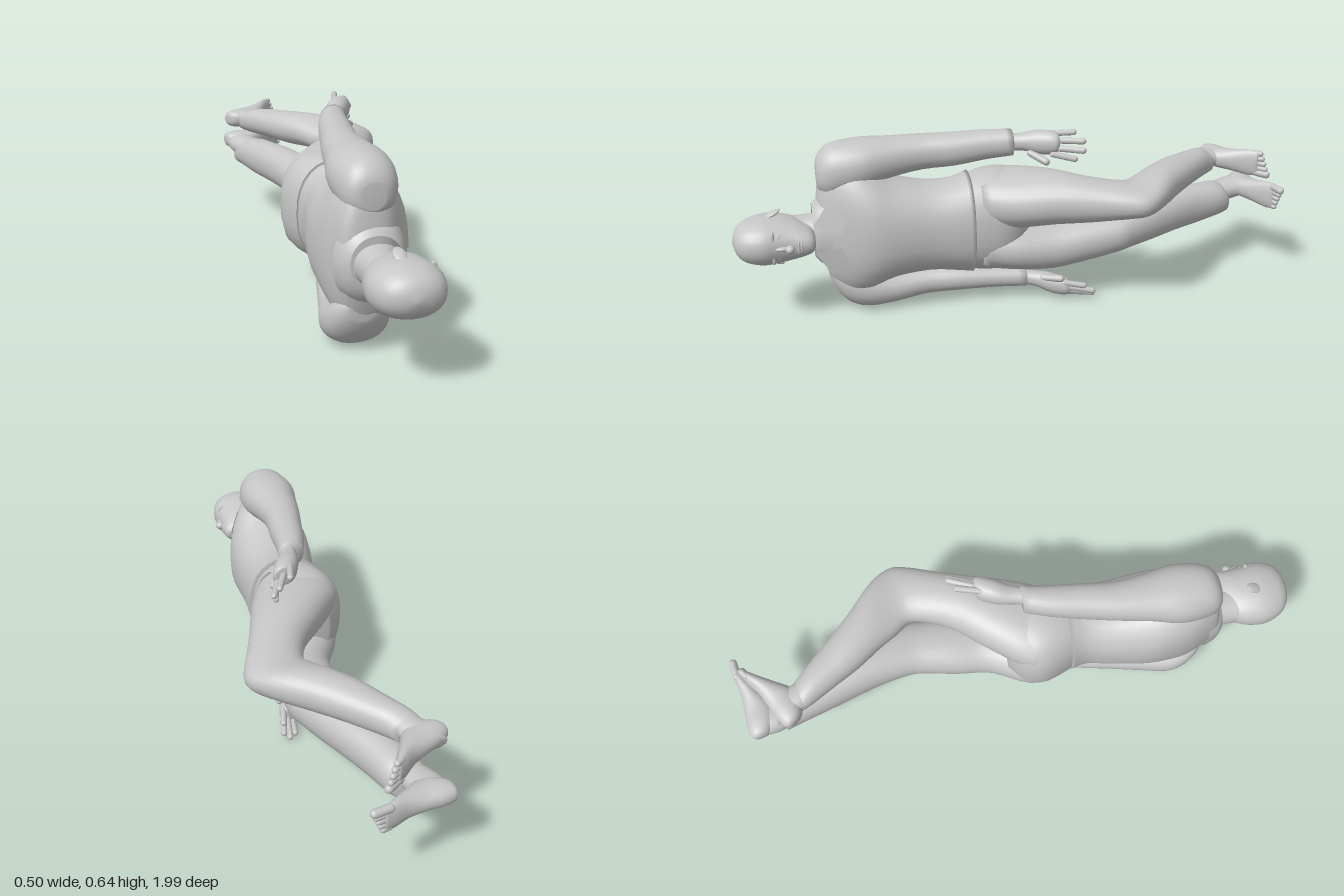
import * as THREE from 'three';

const grey = new THREE.MeshStandardMaterial({ color: 0xc6c6c6, side: THREE.DoubleSide });
grey.name = 'plain grey';

function add(parent, name, geometry) {
  const mesh = new THREE.Mesh(geometry, grey);
  mesh.name = name;
  parent.add(mesh);
  return mesh;
}

// Smooth skin through oval sections [z, xMin, xMax, yMin, yMax], listed along -z
function loft(parent, name, sections, { caps = true, steps = 3, sides = 28, power = 0.92 } = {}) {
  const rows = [];
  const n = sections.length;
  const at = i => sections[Math.max(0, Math.min(n - 1, i))];
  for (let i = 0; i < n - 1; i++) {
    for (let s = 0; s < steps; s++) {
      const t = s / steps;
      rows.push(at(i).map((b, k) => {
        const a = at(i - 1)[k], c = at(i + 1)[k], d = at(i + 2)[k];
        return b + 0.5 * t * (c - a + t * (2 * a - 5 * b + 4 * c - d + t * (3 * (b - c) + d - a)));
      }));
    }
  }
  rows.push(sections[n - 1]);
  const pos = [], index = [];
  const bend = v => Math.sign(v) * Math.abs(v) ** power;
  for (const [z, x0, x1, y0, y1] of rows) {
    for (let j = 0; j < sides; j++) {
      const a = (j / sides) * Math.PI * 2;
      pos.push((x0 + x1) / 2 + bend(Math.cos(a)) * (x1 - x0) / 2,
        (y0 + y1) / 2 + bend(Math.sin(a)) * (y1 - y0) / 2, z);
    }
  }
  for (let i = 0; i < rows.length - 1; i++) {
    for (let j = 0; j < sides; j++) {
      const a = i * sides + j, b = i * sides + (j + 1) % sides;
      index.push(a, a + sides, b, b, a + sides, b + sides);
    }
  }
  if (caps) {
    for (const i of [0, rows.length - 1]) {
      const [z, x0, x1, y0, y1] = rows[i], centre = pos.length / 3;
      pos.push((x0 + x1) / 2, (y0 + y1) / 2, z);
      for (let j = 0; j < sides; j++) {
        const a = i * sides + j, b = i * sides + (j + 1) % sides;
        if (i === 0) index.push(centre, a, b); else index.push(centre, b, a);
      }
    }
  }
  const g = new THREE.BufferGeometry();
  g.setAttribute('position', new THREE.Float32BufferAttribute(pos, 3));
  g.setIndex(index);
  g.computeVertexNormals();
  return add(parent, name, g);
}

// Rounded rod between two points, for fingers and toes
function rod(parent, name, from, to, r) {
  const a = new THREE.Vector3(...from), b = new THREE.Vector3(...to);
  const mesh = add(parent, name, new THREE.CapsuleGeometry(r, Math.max(0.001, a.distanceTo(b) - r), 5, 10));
  mesh.position.copy(a).add(b).multiplyScalar(0.5);
  mesh.quaternion.setFromUnitVectors(new THREE.Vector3(0, 1, 0), b.sub(a).normalize());
}

function blob(parent, name, p, s) {
  const mesh = add(parent, name, new THREE.SphereGeometry(1, 16, 12));
  mesh.position.set(...p);
  mesh.scale.set(...s);
  return mesh;
}

// Foot built sole down (local x is up, toes towards -z), then turned about y
function foot(parent, name, p, turn, inner) {
  const g = new THREE.Group();
  g.name = name;
  loft(g, 'footBody', [
    [0, 0.02, 0.05, -0.015, 0.015], [-0.012, 0.005, 0.075, -0.03, 0.03], [-0.05, 0, 0.1, -0.037, 0.037],
    [-0.1, 0.004, 0.105, -0.037, 0.037], [-0.16, 0.008, 0.074, -0.043, 0.043],
    [-0.21, 0.002, 0.046, -0.051, 0.049], [-0.245, 0.002, 0.028, -0.046, 0.044]]);
  for (let i = 0; i < 5; i++) {
    const y = inner * (0.036 - i * 0.0185), end = -0.285 + i * 0.008;
    rod(g, 'toe', [0.016, y, -0.22], [0.013, y, end], i ? 0.0105 : 0.014);
  }
  g.position.set(...p);
  g.rotation.y = turn;
  parent.add(g);
}

function hand(parent, name, palm, knuckles, tips, thumb) {
  const g = new THREE.Group();
  g.name = name;
  loft(g, 'palm', palm);
  tips.forEach((tip, i) => rod(g, 'finger', knuckles[i], tip, 0.011));
  rod(g, 'thumb', thumb[0], thumb[1], 0.013);
  parent.add(g);
}

export function createModel() {
  const model = new THREE.Group();
  model.name = 'recliningFigure';

  // Head and neck
  const head = new THREE.Group();
  head.name = 'head';
  model.add(head);
  loft(head, 'skull', [
    [0.998, -0.065, -0.045, 0.295, 0.31], [0.985, -0.11, 0.01, 0.262, 0.345], [0.955, -0.146, 0.044, 0.235, 0.37],
    [0.9, -0.167, 0.06, 0.22, 0.384], [0.85, -0.165, 0.054, 0.222, 0.383], [0.8, -0.15, 0.05, 0.232, 0.374],
    [0.765, -0.12, 0.052, 0.245, 0.36], [0.735, -0.09, 0.048, 0.26, 0.344], [0.722, -0.06, 0.032, 0.28, 0.325]]);
  loft(head, 'neck', [[0.81, -0.145, -0.01, 0.24, 0.365], [0.73, -0.145, -0.012, 0.243, 0.367], [0.61, -0.17, 0.025, 0.23, 0.385]]);
  blob(head, 'nose', [0.054, 0.3, 0.808], [0.019, 0.015, 0.016]);
  blob(head, 'noseBridge', [0.048, 0.302, 0.832], [0.013, 0.009, 0.03]);
  blob(head, 'upperLip', [0.046, 0.3, 0.779], [0.009, 0.025, 0.005]);
  blob(head, 'lowerLip', [0.046, 0.3, 0.769], [0.009, 0.021, 0.005]);
  for (const s of [-1, 1]) {
    blob(head, 'brow', [0.036, 0.302 + s * 0.034, 0.864], [0.014, 0.026, 0.008]);
    blob(head, 'eye', [0.031, 0.302 + s * 0.034, 0.845], [0.014, 0.015, 0.008]);
    const ear = blob(head, 'ear', [-0.062, 0.302 + s * 0.086, 0.86], [0.02, 0.008, 0.032]);
    ear.rotation.x = s * 0.45;
  }

  // Shirt with broad shoulders, hem and open collar
  loft(model, 'shirtBody', [
    [0.71, -0.155, -0.06, 0.24, 0.39], [0.695, -0.175, -0.025, 0.18, 0.49], [0.66, -0.19, 0.01, 0.1, 0.55],
    [0.6, -0.21, 0.05, 0.068, 0.56], [0.53, -0.22, 0.08, 0.09, 0.53], [0.45, -0.222, 0.088, 0.125, 0.488],
    [0.33, -0.2, 0.084, 0.14, 0.462], [0.24, -0.178, 0.088, 0.132, 0.468], [0.18, -0.188, 0.092, 0.12, 0.487]], { power: 0.87 });
  loft(model, 'collar', [[0.725, -0.165, 0, 0.215, 0.4], [0.705, -0.185, 0.015, 0.19, 0.42], [0.665, -0.2, 0.03, 0.165, 0.445]], { caps: false });
  for (const s of [-1, 1]) {
    const lapel = new THREE.BufferGeometry();
    const y = d => 0.305 + s * d;
    lapel.setAttribute('position', new THREE.Float32BufferAttribute([
      0.003, y(0.05), 0.725, 0.01, y(0.13), 0.675, 0.05, y(0.085), 0.61, 0.045, y(0.02), 0.64], 3));
    lapel.setIndex(s > 0 ? [0, 2, 1, 0, 3, 2] : [0, 1, 2, 0, 2, 3]);
    lapel.computeVertexNormals();
    add(model, 'lapel', lapel);
  }

  // Sleeves
  loft(model, 'leftSleeve', [
    [0.702, -0.12, -0.05, 0.47, 0.55], [0.69, -0.15, -0.022, 0.45, 0.58], [0.65, -0.172, 0.005, 0.43, 0.615],
    [0.55, -0.185, 0.018, 0.455, 0.627], [0.45, -0.165, 0, 0.485, 0.626], [0.34, -0.145, -0.012, 0.505, 0.628],
    [0.23, -0.12, 0, 0.515, 0.632], [0.12, -0.095, 0.01, 0.535, 0.638], [0.03, -0.065, 0.024, 0.548, 0.64]]);
  loft(model, 'rightSleeve', [
    [0.68, -0.15, -0.07, 0.12, 0.19], [0.66, -0.18, -0.03, 0.075, 0.2], [0.615, -0.205, -0.003, 0.022, 0.19],
    [0.55, -0.21, 0.008, 0.003, 0.155], [0.45, -0.185, 0, 0.012, 0.13], [0.34, -0.16, -0.015, 0.028, 0.13],
    [0.23, -0.135, -0.005, 0.035, 0.13], [0.1, -0.1, 0.005, 0.04, 0.12], [-0.02, -0.065, 0.018, 0.04, 0.112]]);

  // Hands
  hand(model, 'leftHand',
    [[0.06, -0.045, 0.012, 0.565, 0.625], [0, -0.032, 0.033, 0.57, 0.63], [-0.05, -0.022, 0.062, 0.56, 0.643], [-0.1, 0, 0.082, 0.562, 0.643], [-0.118, 0.018, 0.075, 0.575, 0.635]],
    [[0.068, 0.57, -0.09], [0.06, 0.588, -0.1], [0.042, 0.61, -0.1], [0.018, 0.628, -0.085]],
    [[0.092, 0.552, -0.172], [0.106, 0.585, -0.198], [0.088, 0.613, -0.202], [0.045, 0.635, -0.18]],
    [[0.03, 0.57, -0.02], [0.075, 0.542, -0.075]]);
  hand(model, 'rightHand',
    [[0, -0.048, 0.008, 0.05, 0.1], [-0.05, -0.032, 0.03, 0.045, 0.1], [-0.1, -0.015, 0.06, 0.025, 0.098], [-0.15, 0.008, 0.075, 0.018, 0.085], [-0.168, 0.025, 0.068, 0.025, 0.072]],
    [[0.06, 0.072, -0.14], [0.06, 0.055, -0.15], [0.047, 0.038, -0.15], [0.028, 0.025, -0.135]],
    [[0.08, 0.06, -0.22], [0.088, 0.04, -0.25], [0.066, 0.022, -0.255], [0.04, 0.015, -0.23]],
    [[0.025, 0.085, -0.07], [0.075, 0.095, -0.135]]);

  // Trousers
  loft(model, 'trouserSeat', [
    [0.22, -0.165, 0.075, 0.14, 0.46], [0.14, -0.2, 0.085, 0.122, 0.485], [0.07, -0.216, 0.085, 0.12, 0.49],
    [0.01, -0.195, 0.06, 0.14, 0.475], [-0.04, -0.14, 0, 0.19, 0.425]], { power: 0.85 });
  loft(model, 'leftTrouserLeg', [
    [0.15, -0.17, 0.07, 0.3, 0.475], [0.04, -0.197, 0.122, 0.288, 0.488], [-0.1, -0.1, 0.165, 0.31, 0.495],
    [-0.22, 0, 0.205, 0.33, 0.482], [-0.34, 0.045, 0.248, 0.35, 0.47], [-0.4, 0.01, 0.25, 0.352, 0.472],
    [-0.47, -0.035, 0.2, 0.36, 0.487], [-0.55, -0.09, 0.11, 0.362, 0.49], [-0.63, -0.135, 0.03, 0.37, 0.485],
    [-0.72, -0.185, -0.055, 0.375, 0.478], [-0.77, -0.205, -0.1, 0.38, 0.455]]);
  loft(model, 'rightTrouserLeg', [
    [0.15, -0.17, 0.07, 0.138, 0.31], [0.04, -0.197, 0.1, 0.122, 0.3], [-0.1, -0.125, 0.1, 0.118, 0.285],
    [-0.22, -0.11, 0.1, 0.135, 0.3], [-0.34, -0.09, 0.1, 0.16, 0.312], [-0.4, -0.09, 0.085, 0.17, 0.322],
    [-0.5, -0.11, 0.05, 0.18, 0.335], [-0.6, -0.14, 0.01, 0.19, 0.342], [-0.7, -0.17, -0.03, 0.195, 0.342],
    [-0.8, -0.2, -0.06, 0.208, 0.335], [-0.84, -0.21, -0.085, 0.215, 0.305]]);

  // Ankles and bare feet
  loft(model, 'leftAnkle', [[-0.7, -0.165, -0.07, 0.39, 0.465], [-0.78, -0.215, -0.11, 0.393, 0.463], [-0.84, -0.235, -0.12, 0.4, 0.455]]);
  loft(model, 'rightAnkle', [[-0.76, -0.175, -0.08, 0.24, 0.32], [-0.86, -0.22, -0.105, 0.255, 0.335], [-0.92, -0.225, -0.1, 0.27, 0.338]]);
  foot(model, 'leftFoot', [-0.26, 0.428, -0.815], -1.03, -1);
  foot(model, 'rightFoot', [-0.238, 0.308, -0.96], -1.44, 1);

  return model;
}
